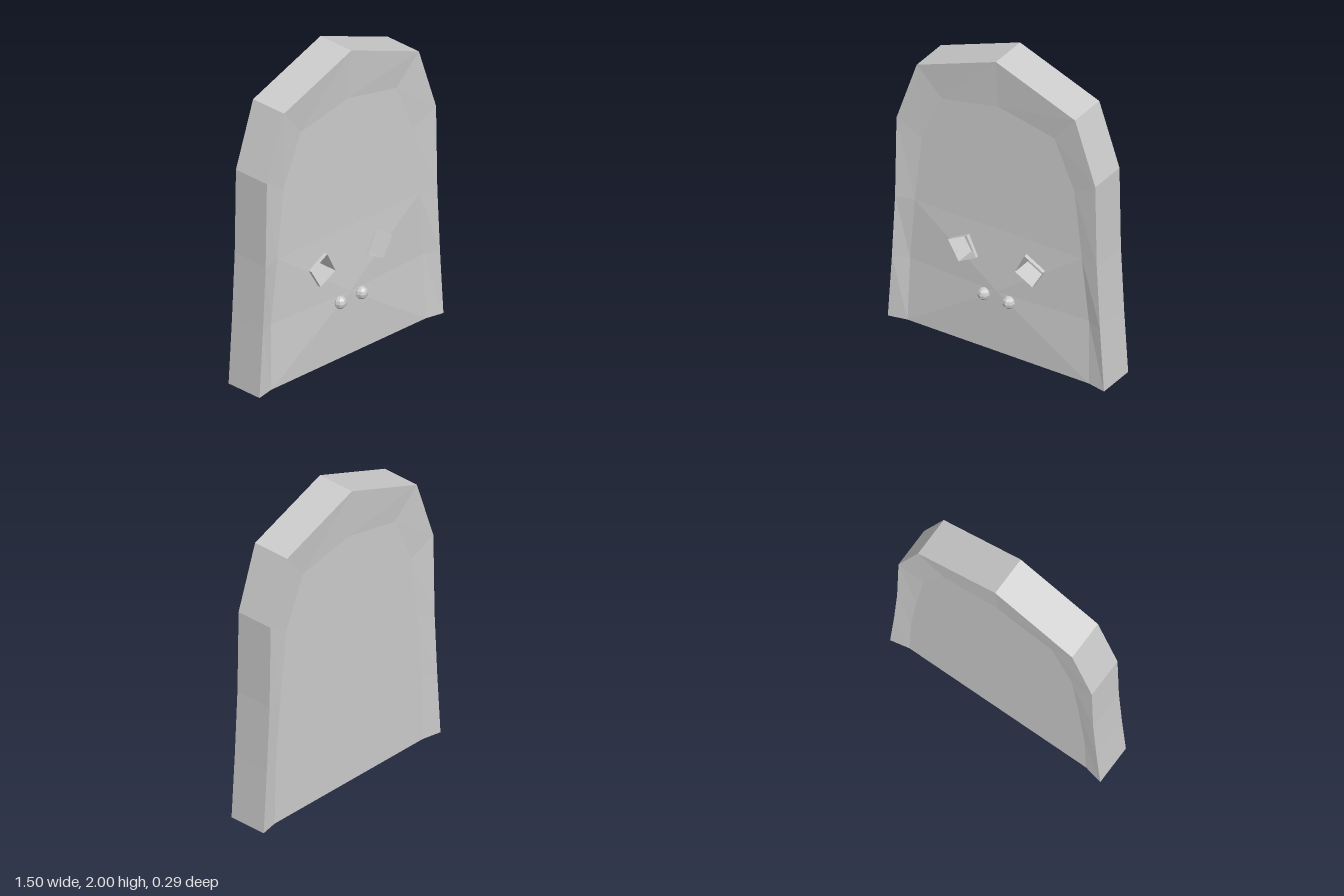
import * as THREE from 'three';

const material = new THREE.MeshStandardMaterial({ color: 0xcccccc, flatShading: true, side: THREE.DoubleSide });

// Heights of the front panel: flat part, tip of the beak, low cheeks
const FLAT = 0.085, TIP = 0.1, CHEEK = 0.072;
const FRONT = 0.11, BACK = -0.145, BACK_PANEL = -0.12;

// Right halves of the outer and inner outlines, from the bottom to the peak
const OUTER = [[0.75, 0], [0.722, 0.42], [0.7, 0.84], [0.69, 1.38], [0.55, 1.79], [0, 2]];
const INNER = [[0.63, 0], [0.62, 0.42], [0.58, 0.84], [0.53, 1.28], [0.39, 1.6], [0, 1.68]];

// Corners of the right eye opening, and where the beak fold crosses it
const EYE = [[0.33, 0.67], [0.2, 0.74], [0.135, 0.61], [0.255, 0.545]];
const FOLD_OUT = [0.318, 0.651], FOLD_IN = [0.207, 0.571];

const mirror = ([x, y, ...rest]) => [-x, y, ...rest];
const mirrorPath = (path) => path.map(mirror).reverse();
const fullOutline = (half) => [...half, ...mirrorPath(half.slice(0, -1))];
const atZ = (path, z) => path.map(([x, y], i) => [x, y, typeof z === 'function' ? z(x, y, i) : z]);

function makeMesh(name, triangles) {
  const geometry = new THREE.BufferGeometry();
  geometry.setAttribute('position', new THREE.Float32BufferAttribute(triangles.flat(2), 3));
  geometry.computeVertexNormals();
  const mesh = new THREE.Mesh(geometry, material);
  mesh.name = name;
  return mesh;
}

// Band of quads between two paths of equal length
function strip(a, b) {
  const triangles = [];
  for (let i = 0; i + 1 < a.length; i++) {
    triangles.push([a[i], a[i + 1], b[i + 1]], [a[i], b[i + 1], b[i]]);
  }
  return triangles;
}

// Fills a polygon that may be concave; it faces +z, or -z when flipped
function fill(points, flip = false) {
  const flat = points.map(([x, y]) => new THREE.Vector2(x, y));
  if (THREE.ShapeUtils.isClockWise(flat)) {
    flat.reverse();
    points = [...points].reverse();
  }
  return THREE.ShapeUtils.triangulateShape(flat, [])
    .map(([a, b, c]) => (flip ? [points[a], points[c], points[b]] : [points[a], points[b], points[c]]));
}

// Planes of the folded face
const beakZ = (x, y) => FLAT + (TIP - FLAT) * (0.84 - y) / 0.42;
const slope = (TIP - CHEEK) / 0.62;
const rise = (FLAT - TIP + slope * 0.58) / 0.42;
const cheekZ = (x, y) => TIP - slope * Math.abs(x) + rise * (y - 0.42);

export function createModel() {
  const model = new THREE.Group();
  model.name = 'slab';

  const outer = fullOutline(OUTER), inner = fullOutline(INNER);
  const last = inner.length - 1;
  const frontOuter = atZ(outer, FRONT), backOuter = atZ(outer, BACK);
  const frontInner = atZ(inner, (x, y, i) => (i === 1 || i === last - 1 ? CHEEK : FLAT));
  const backInner = atZ(inner, BACK_PANEL);

  // Shell, open at the bottom
  model.add(
    makeMesh('sideWall', strip(backOuter, frontOuter)),
    makeMesh('frontBevel', strip(frontOuter, frontInner)),
    makeMesh('backBevel', strip(backInner, backOuter)),
    makeMesh('backPanel', fill(backInner, true)),
    makeMesh('upperFrontPanel', fill(frontInner.slice(2, last - 1))),
  );

  // Lower panel meets the tip of the beak
  const tip = [0, 0.42, TIP];
  const [r0, r1] = frontInner, l0 = frontInner[last], l1 = frontInner[last - 1];
  model.add(makeMesh('lowerFrontPanel', [[tip, l1, l0], [tip, l0, r0], [tip, r0, r1]]));

  // Beak with the eye openings cut out of its edges
  const beakSide = [[0.58, 0.84], FOLD_OUT, EYE[0], EYE[1], EYE[2], FOLD_IN];
  model.add(makeMesh('beak', fill(atZ([...beakSide, [0, 0.42], ...mirrorPath(beakSide)], beakZ))));

  for (const side of [1, -1]) {
    const label = side > 0 ? 'left' : 'right';
    const place = (path) => (side > 0 ? path : mirrorPath(path));

    // Cheek below the beak fold
    const cheek = [[0.58, 0.84], [0.62, 0.42], [0, 0.42], FOLD_IN, EYE[3], FOLD_OUT];
    model.add(makeMesh(label + 'Cheek', fill(place(atZ(cheek, cheekZ)))));

    // Eye socket: a square box open at the front
    const square = place(EYE);
    const loop = [...square, square[0]];
    model.add(makeMesh(label + 'EyeSocket', [
      ...strip(atZ(loop, 0.114), atZ(loop, -0.02)),
      ...fill(atZ(square, -0.02)),
    ]));

    // Nostril bead
    const nostril = new THREE.Mesh(new THREE.SphereGeometry(0.04, 8, 6), material);
    nostril.name = label + 'Nostril';
    nostril.position.set(side * 0.087, 0.38, 0.105);
    model.add(nostril);
  }
  return model;
}
